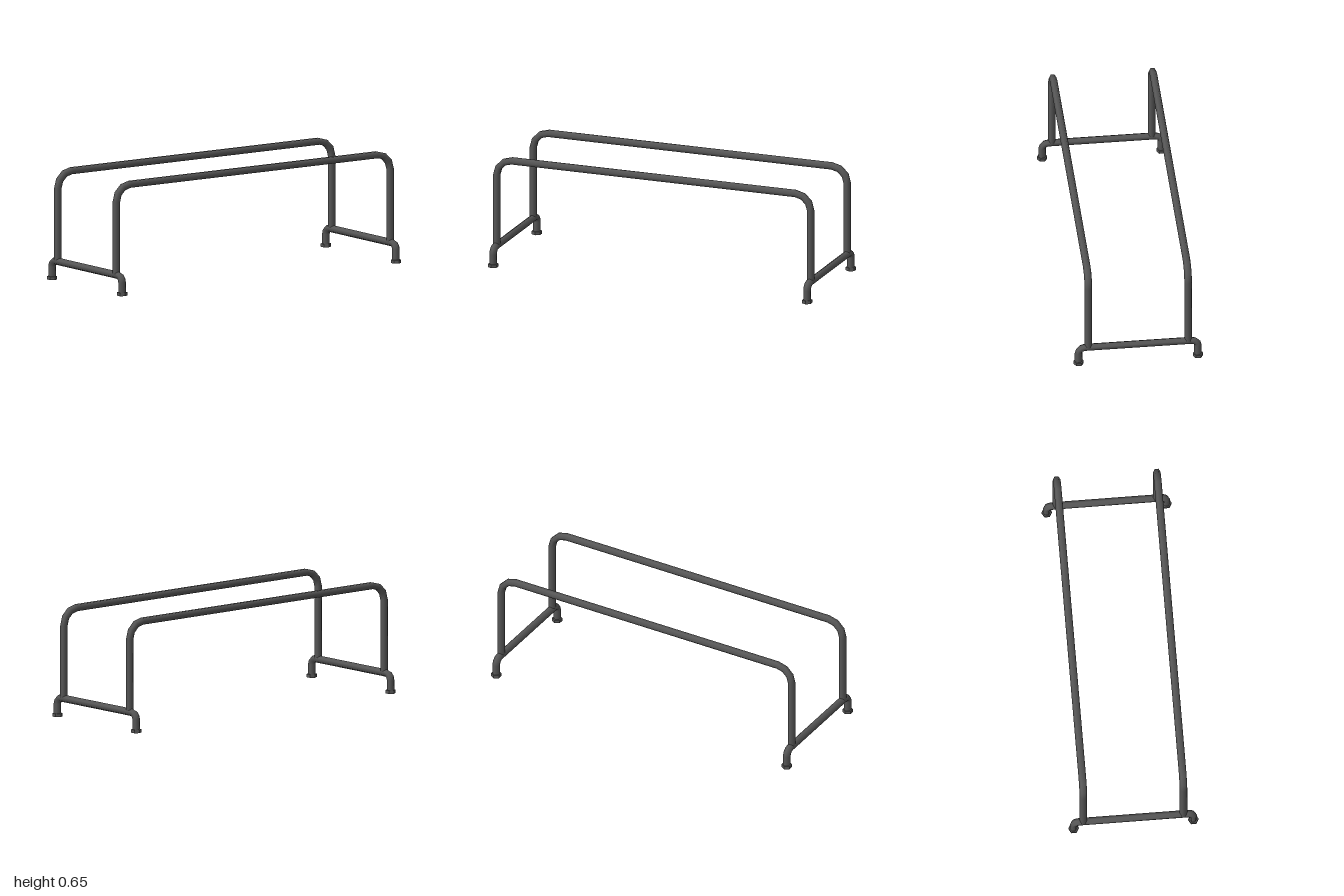
import * as THREE from 'three';

const SIDES = 6, BEND_STEPS = 3, TUBE_R = 0.022;

// Upside-down U of six-sided tube in the XY plane with rounded corners
function bentTube(halfWidth, bottom, top, bendR, twist) {
  const path = [[-halfWidth, bottom, Math.PI]]; // x, y, angle of the outward normal
  for (const side of [-1, 1]) {
    for (let k = 0; k <= BEND_STEPS; k++) {
      const t = (k / BEND_STEPS) * Math.PI / 2;
      const a = side < 0 ? Math.PI - t : Math.PI / 2 - t;
      path.push([
        side * (halfWidth - bendR) + bendR * Math.cos(a),
        top - bendR + bendR * Math.sin(a),
        a,
      ]);
    }
  }
  path.push([halfWidth, bottom, 0]);

  const pos = [], nor = [], idx = [];
  path.forEach(([x, y, a], i) => {
    for (let j = 0; j < SIDES; j++) {
      const t = twist + (j / SIDES) * Math.PI * 2;
      const n = [Math.cos(t) * Math.cos(a), Math.cos(t) * Math.sin(a), Math.sin(t)];
      pos.push(x + n[0] * TUBE_R, y + n[1] * TUBE_R, n[2] * TUBE_R);
      nor.push(...n);
      if (i < path.length - 1) {
        const p = i * SIDES + j, q = i * SIDES + (j + 1) % SIDES;
        idx.push(p, q, q + SIDES, p, q + SIDES, p + SIDES);
      }
    }
  });
  const geo = new THREE.BufferGeometry();
  geo.setAttribute('position', new THREE.Float32BufferAttribute(pos, 3));
  geo.setAttribute('normal', new THREE.Float32BufferAttribute(nor, 3));
  geo.setIndex(idx);
  return geo;
}

export function createModel() {
  const model = new THREE.Group();
  model.name = 'parallelBars';
  const steel = new THREE.MeshStandardMaterial({ color: 0x575757 });
  steel.name = 'darkSteel';

  const add = (name, geo, x, y, z) => {
    const mesh = new THREE.Mesh(geo, steel);
    mesh.name = name;
    mesh.position.set(x, y, z);
    model.add(mesh);
  };

  const RAIL_X = 0.29, END_Z = 0.974, FOOT_X = 0.347;

  // Two long hand rails with their uprights
  const rail = bentTube(END_Z, 0.113, 0.635, 0.095, Math.PI / 2).rotateY(Math.PI / 2);
  add('leftRail', rail, RAIL_X, 0, 0);
  add('rightRail', rail, -RAIL_X, 0, 0);

  // Low cross tubes at each end, bent down to the feet
  const base = bentTube(FOOT_X, 0.005, 0.113, 0.037, 0);
  add('frontBase', base, 0, 0, END_Z);
  add('backBase', base, 0, 0, -END_Z);

  // Six-sided foot caps
  const foot = new THREE.CylinderGeometry(0.03, 0.03, 0.019, SIDES)
    .rotateY(Math.PI / 2).toNonIndexed();
  foot.computeVertexNormals();
  for (const sx of [1, -1]) {
    for (const sz of [1, -1]) {
      add((sz > 0 ? 'front' : 'back') + (sx > 0 ? 'Left' : 'Right') + 'Foot',
        foot, sx * FOOT_X, 0.0095, sz * END_Z);
    }
  }
  return model;
}
